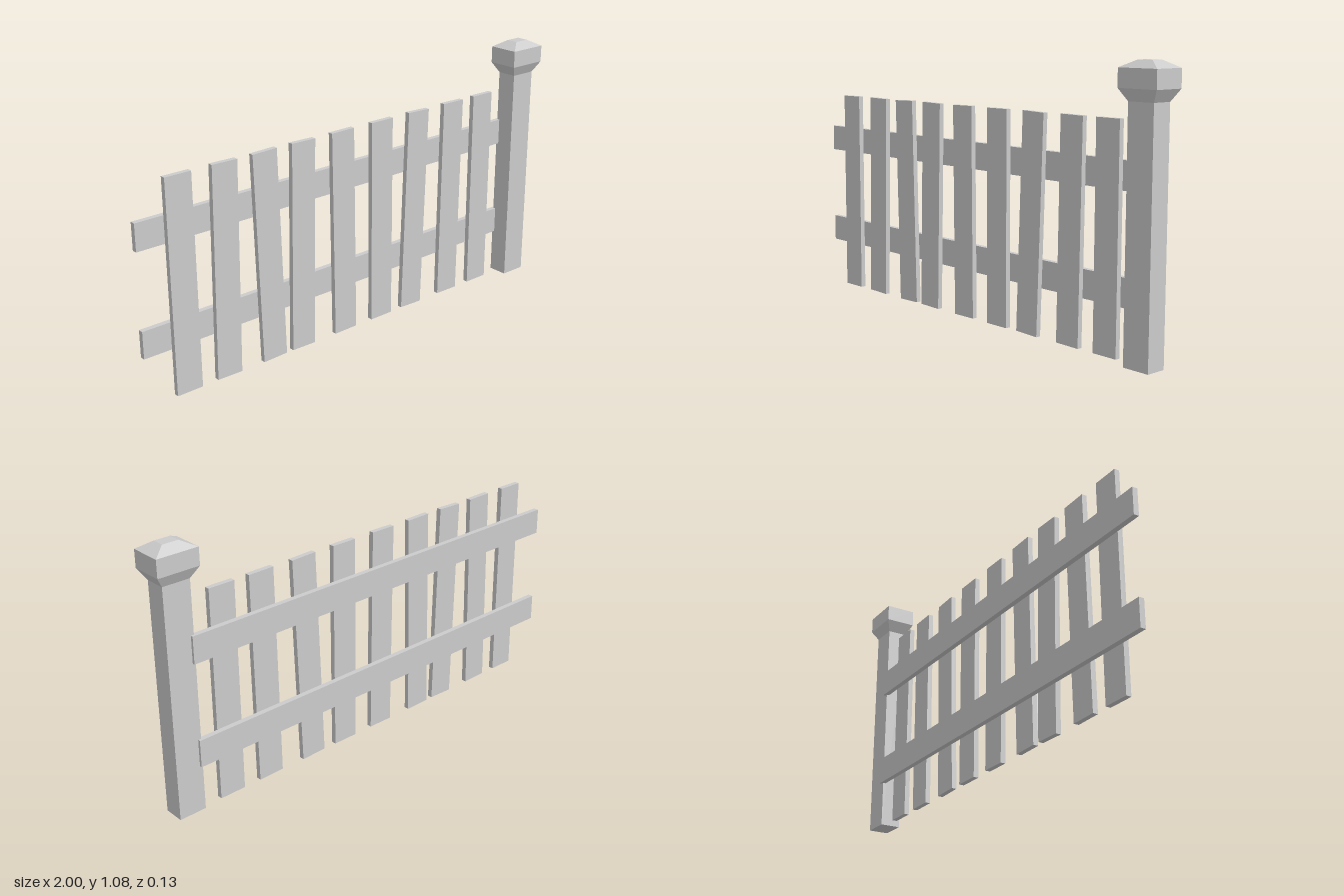
import * as THREE from 'three';

const material = new THREE.MeshStandardMaterial({ color: 0xcccccc, flatShading: true });

function addBox(parent, name, size, position) {
  const mesh = new THREE.Mesh(new THREE.BoxGeometry(...size), material);
  mesh.name = name;
  mesh.position.set(...position);
  parent.add(mesh);
  return mesh;
}

// Box tapering from a bottom half-size to a top half-size, both as [x, z]
function taperedBox(y0, [bx, bz], y1, [tx, tz]) {
  const geometry = new THREE.BoxGeometry(2, y1 - y0, 2);
  geometry.translate(0, (y0 + y1) / 2, 0);
  const p = geometry.attributes.position;
  for (let i = 0; i < p.count; i++) {
    const top = p.getY(i) > (y0 + y1) / 2;
    p.setX(i, p.getX(i) * (top ? tx : bx));
    p.setZ(i, p.getZ(i) * (top ? tz : bz));
  }
  geometry.computeVertexNormals();
  return geometry;
}

export function createModel() {
  const fence = new THREE.Group();
  fence.name = 'fence';

  // Two rails running behind the pickets and overlapping the post's back
  addBox(fence, 'lowerRail', [1.87, 0.112, 0.022], [-0.065, 0.251, -0.042]);
  addBox(fence, 'upperRail', [1.87, 0.11, 0.022], [-0.065, 0.675, -0.042]);

  // Pickets, each leaning a little: [bottom x, top x]
  const pickets = new THREE.Group();
  pickets.name = 'pickets';
  const leans = [
    [-0.825, -0.825], [-0.642, -0.626], [-0.422, -0.446],
    [-0.278, -0.262], [-0.056, -0.066], [0.142, 0.14],
    [0.313, 0.342], [0.532, 0.543], [0.72, 0.72],
  ];
  const height = 0.872;
  for (const [bottom, top] of leans) {
    const picket = addBox(pickets, 'picket', [0.112, height, 0.021],
      [(bottom + top) / 2, 0.441, -0.0205]);
    picket.rotation.z = -Math.atan2(top - bottom, height);
  }
  fence.add(pickets);

  // End post with a flared, bevelled cap
  const post = new THREE.Group();
  post.name = 'post';
  post.position.x = 0.914;
  addBox(post, 'postShaft', [0.114, 0.945, 0.085], [0, 0.4775, 0]);
  const capSections = [
    ['capFlare', 0.945, [0.057, 0.0425], 0.99, [0.086, 0.065]],
    ['capBlock', 0.99, [0.086, 0.065], 1.06, [0.086, 0.065]],
    ['capTop', 1.06, [0.086, 0.065], 1.087, [0.033, 0.025]],
  ];
  for (const [name, ...section] of capSections) {
    const mesh = new THREE.Mesh(taperedBox(...section), material);
    mesh.name = name;
    post.add(mesh);
  }
  fence.add(post);

  return fence;
}
